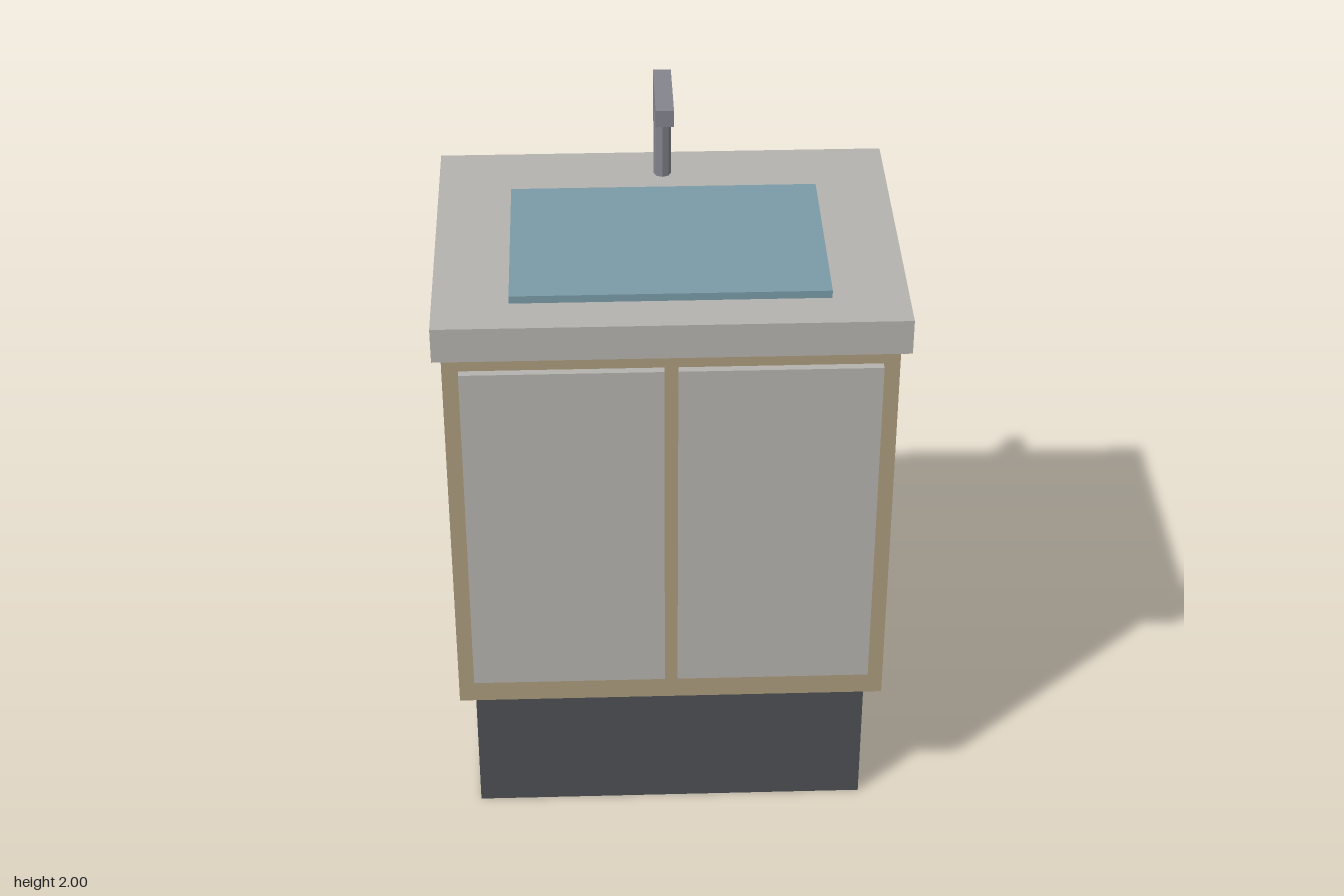
import * as THREE from 'three';

const mat = (name, color) => {
  const m = new THREE.MeshStandardMaterial({ color });
  m.name = name;
  return m;
};

export function createModel() {
  const wood = mat('wood', 0xab9c7e);
  const stone = mat('pale stone', 0xb5b3af);
  const plinthGrey = mat('plinth grey', 0x4d5055);
  const glass = mat('basin blue', 0x7a9ba8);
  const metal = mat('tap metal', 0x83858d);

  const group = new THREE.Group();
  group.name = 'washstand';

  // Box given by its min and max on each axis
  const box = (name, material, [x0, x1], [y0, y1], [z0, z1]) => {
    const mesh = new THREE.Mesh(new THREE.BoxGeometry(x1 - x0, y1 - y0, z1 - z0), material);
    mesh.position.set((x0 + x1) / 2, (y0 + y1) / 2, (z0 + z1) / 2);
    mesh.name = name;
    group.add(mesh);
    return mesh;
  };

  // Cabinet on a recessed plinth
  box('plinth', plinthGrey, [-0.545, 0.545], [0, 0.433], [-0.409, 0.297]);
  box('cabinet', wood, [-0.586, 0.586], [0.433, 1.603], [-0.447, 0.37]);

  // Pair of doors
  box('leftDoor', stone, [0.018, 0.543], [0.512, 1.525], [0.37, 0.391]);
  box('rightDoor', stone, [-0.543, -0.018], [0.512, 1.525], [0.37, 0.391]);

  // Worktop and basin panel
  box('worktop', stone, [-0.605, 0.605], [1.603, 1.7], [-0.447, 0.447]);
  box('basin', glass, [-0.409, 0.409], [1.7, 1.721], [-0.217, 0.33]);

  // Tap: faceted post and square spout
  const postGeometry = new THREE.CylinderGeometry(0.024, 0.024, 0.275, 8).toNonIndexed();
  postGeometry.computeVertexNormals();
  const post = new THREE.Mesh(postGeometry, metal);
  post.position.set(0, 1.8375, -0.331);
  post.name = 'tapPost';
  group.add(post);
  box('tapSpout', metal, [-0.024, 0.024], [1.953, 2], [-0.354, -0.119]);

  return group;
}
